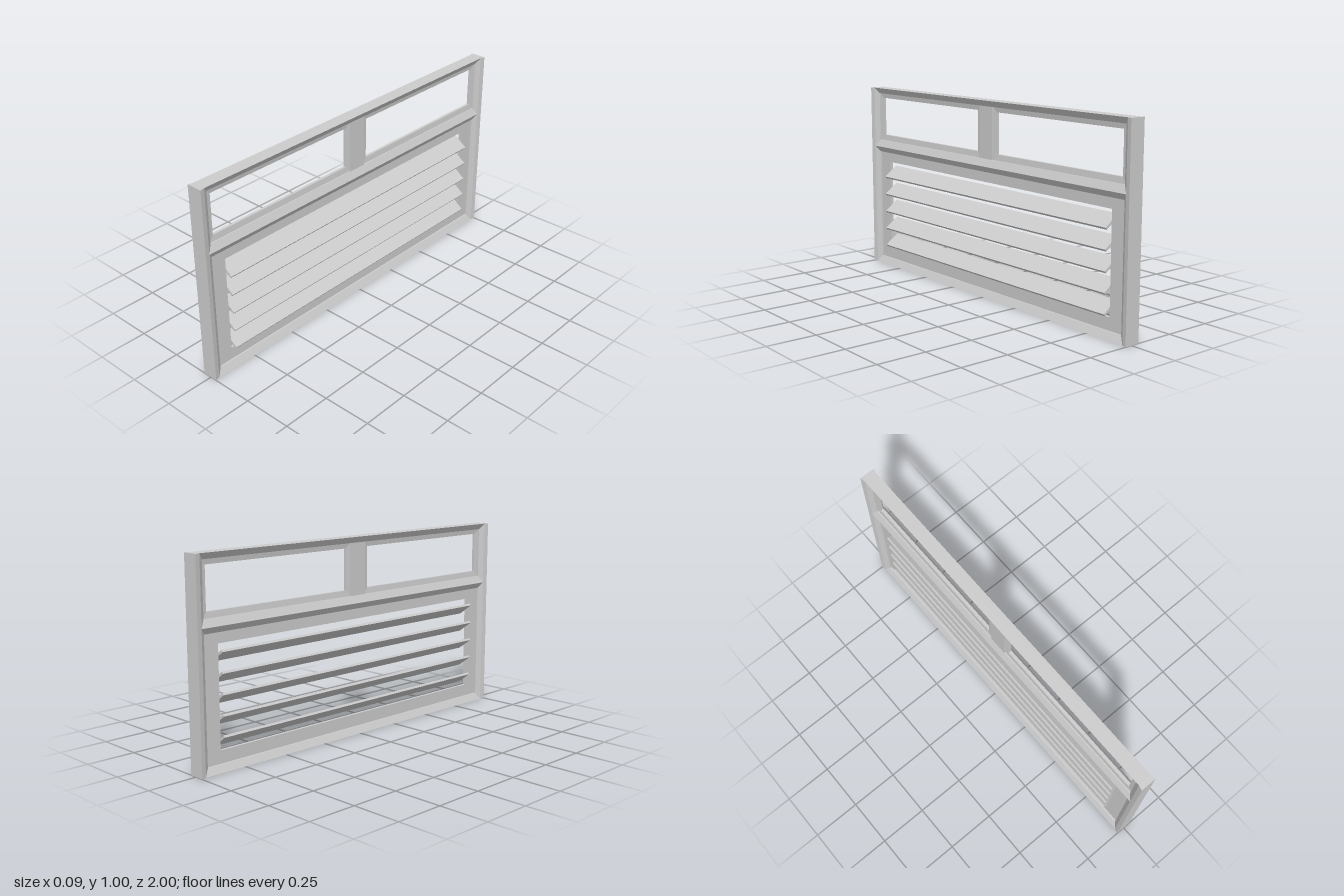
import * as THREE from 'three';

const CX = -0.004; // mid-depth of the whole frame
const material = new THREE.MeshStandardMaterial({ color: 0xcccccc, flatShading: true });

// Rectangle seen from +x, counter-clockwise: z from z0 to z1, y from y0 to y1
const rect = (z0, z1, y0, y1) => [[z1, y0], [z0, y0], [z0, y1], [z1, y1]];

// Mitred frame: outer and inner rectangles, each with its own half depth
function mitredFrame(name, outer, inner, outerDepth, innerDepth) {
  const loops = [
    outer.map(([z, y]) => [CX + outerDepth, y, z]),
    inner.map(([z, y]) => [CX + innerDepth, y, z]),
    inner.map(([z, y]) => [CX - innerDepth, y, z]),
    outer.map(([z, y]) => [CX - outerDepth, y, z]),
  ];
  const positions = [];
  for (let i = 0; i < 4; i++) {
    const a = loops[i], b = loops[(i + 1) % 4];
    for (let j = 0; j < 4; j++) {
      const k = (j + 1) % 4;
      positions.push(...a[j], ...a[k], ...b[k], ...a[j], ...b[k], ...b[j]);
    }
  }
  const geometry = new THREE.BufferGeometry();
  geometry.setAttribute('position', new THREE.Float32BufferAttribute(positions, 3));
  geometry.computeVertexNormals();
  const mesh = new THREE.Mesh(geometry, material);
  mesh.name = name;
  return mesh;
}

function box(name, w, h, d, x, y, z) {
  const mesh = new THREE.Mesh(new THREE.BoxGeometry(w, h, d), material);
  mesh.name = name;
  mesh.position.set(x, y, z);
  return mesh;
}

export function createModel() {
  const model = new THREE.Group();
  model.name = 'louvredWindow';

  // Main frame: bevelled surrounds of the upper and lower openings
  model.add(mitredFrame('upperFrame',
    rect(-0.975, 0.975, 0.675, 1.005), rect(-0.95, 0.95, 0.712, 0.975), 0.035, 0.017));
  model.add(mitredFrame('lowerFrame',
    rect(-0.975, 0.975, 0, 0.675), rect(-0.95, 0.95, 0.035, 0.645), 0.035, 0.017));

  // Side stiles, flaring slightly towards the outer ends
  for (const side of [1, -1]) {
    const stile = box('sideStile', 0.082, 1.005, 0.025, CX, 0.5025, side * 0.9875);
    const p = stile.geometry.attributes.position;
    for (let i = 0; i < p.count; i++) {
      if (p.getZ(i) * side < 0) p.setX(i, Math.sign(p.getX(i)) * 0.035);
    }
    stile.geometry.computeVertexNormals();
    model.add(stile);
  }

  // Mullion between the two upper lights
  model.add(box('mullion', 0.034, 0.275, 0.1, CX, 0.8425, 0));

  // Upper sashes around open lights
  for (const [z0, z1] of [[0.047, 0.953], [-0.953, -0.047]]) {
    model.add(mitredFrame('upperSash',
      rect(z0, z1, 0.708, 0.978), rect(z0 + 0.025, z1 - 0.028, 0.742, 0.95), 0.011, 0.007));
  }

  // Flat panel frame holding the louvres
  model.add(mitredFrame('louvrePanel',
    rect(-0.955, 0.955, 0.03, 0.65), rect(-0.868, 0.868, 0.098, 0.592), 0.008, 0.008));

  // Tilted louvre slats, high at the back and low at the front
  const tilt = -Math.atan2(0.055, 0.075);
  for (let i = 0; i < 5; i++) {
    const slat = box('louvreSlat', 0.093, 0.012, 1.736, -0.001, 0.1405 + i * 0.0985, 0);
    slat.rotation.z = tilt;
    model.add(slat);
  }

  return model;
}
